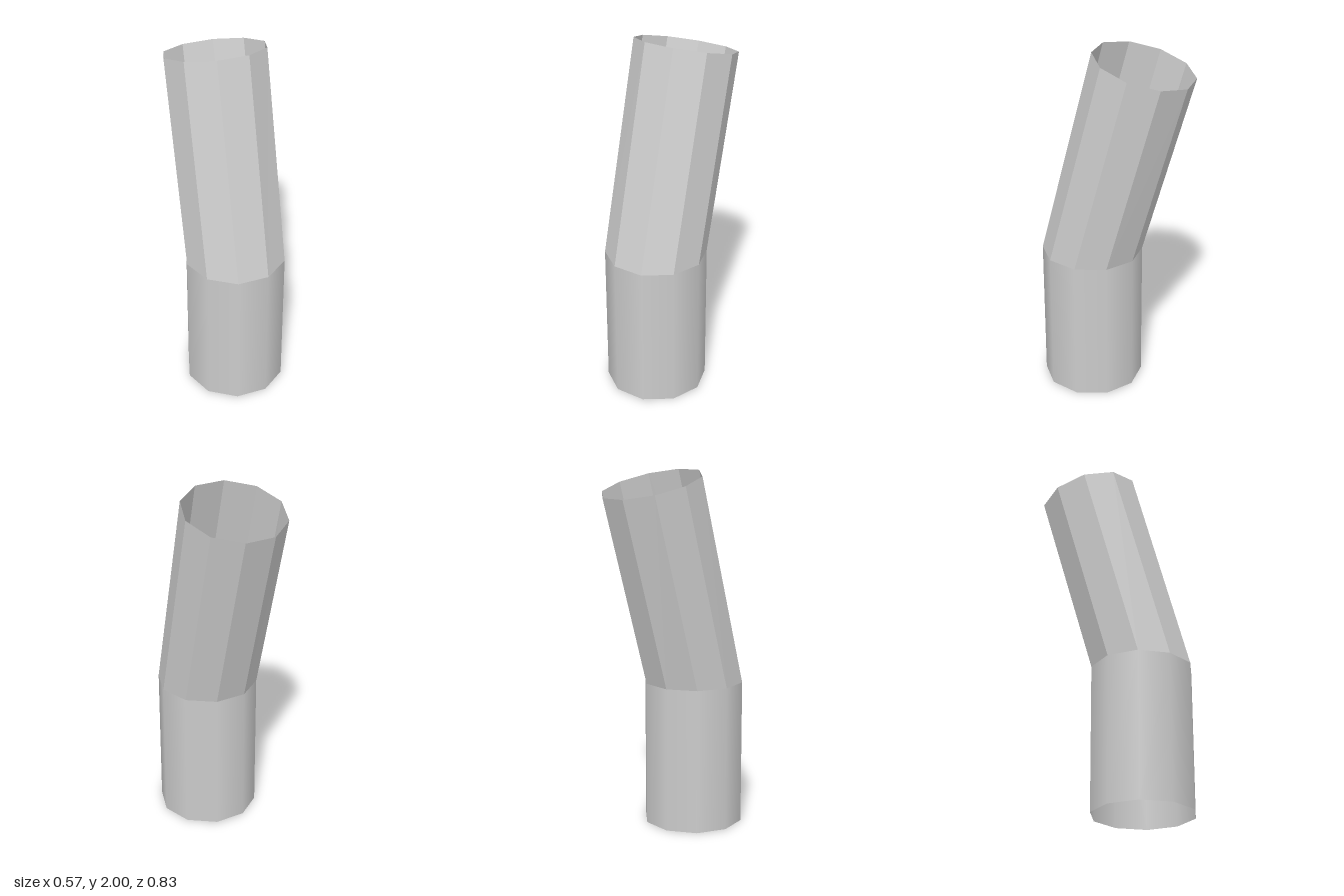
import * as THREE from 'three';

const SIDES = 10, R = 0.283;
const BEND_Y = 0.817, BASE_Z = 0.144;   // bend ring centre
const TOP_Y = 1.931, TOP_Z = -0.154;    // mouth ring centre
const TILT = -Math.PI / 12;             // mouth leans back 15 degrees

// Open ten-sided tube with corners on the x axis
function tube(height) {
  return new THREE.CylinderGeometry(R, R, height, SIDES, 1, true, Math.PI / 2);
}

export function createModel() {
  const group = new THREE.Group();
  group.name = 'bentPipe';

  // Upright lower section, smooth shaded
  const lower = new THREE.Mesh(
    tube(BEND_Y),
    new THREE.MeshStandardMaterial({ color: 0xcccccc, side: THREE.DoubleSide })
  );
  lower.name = 'lowerPipe';
  lower.position.set(0, BEND_Y / 2, BASE_Z);
  group.add(lower);

  // Leaning upper section: level ring at the bend, tilted ring at the mouth
  const geo = tube(1);
  const pos = geo.attributes.position;
  const v = new THREE.Vector3();
  const xAxis = new THREE.Vector3(1, 0, 0);
  for (let i = 0; i < pos.count; i++) {
    v.fromBufferAttribute(pos, i);
    const isTop = v.y > 0;
    v.y = 0;
    if (isTop) {
      v.applyAxisAngle(xAxis, TILT);
      v.y += TOP_Y;
      v.z += TOP_Z;
    } else {
      v.y = BEND_Y;
      v.z += BASE_Z;
    }
    pos.setXYZ(i, v.x, v.y, v.z);
  }
  geo.computeVertexNormals();
  const upper = new THREE.Mesh(
    geo,
    new THREE.MeshStandardMaterial({ color: 0xcccccc, side: THREE.DoubleSide, flatShading: true })
  );
  upper.name = 'upperPipe';
  group.add(upper);

  return group;
}
